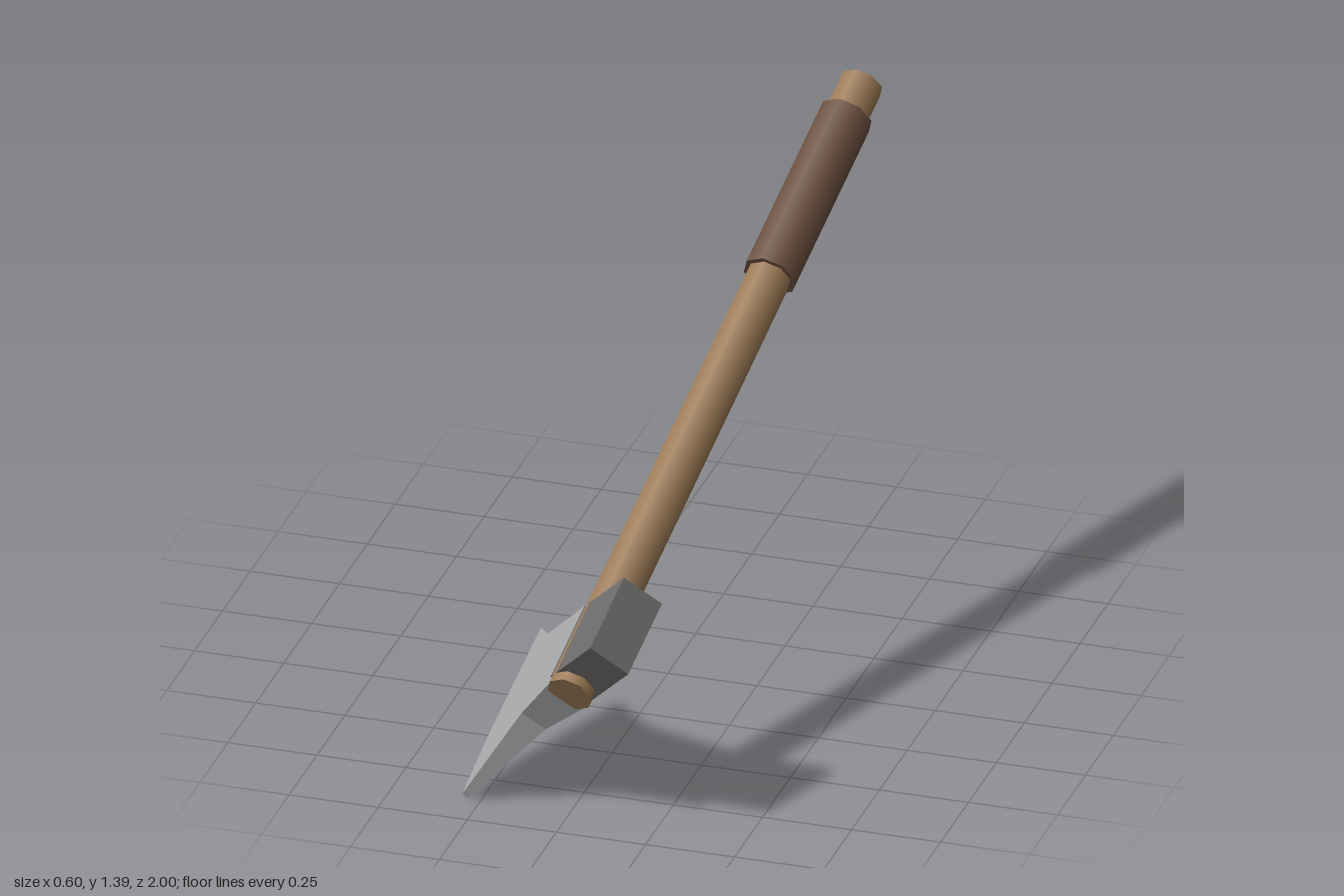
import * as THREE from 'three';

const material = (name, color, extra = {}) => {
  const m = new THREE.MeshStandardMaterial({ color, ...extra });
  m.name = name;
  return m;
};

// Local frame: y runs along the handle from the head end, z points to the cutting edge.
export function createModel() {
  const wood = material('wood', 0x9c7a55);
  const leather = material('leather', 0x6b4f3e);
  const steel = material('steel', 0xa6a8aa);
  const iron = material('darkIron', 0x6c6b6a);

  const axe = new THREE.Group();
  axe.name = 'axe';
  const add = (name, geometry, mat) => {
    const mesh = new THREE.Mesh(geometry, mat);
    mesh.name = name;
    axe.add(mesh);
    return mesh;
  };

  // Octagonal rods, smooth around the sides
  const rod = (name, rTop, rBottom, from, to, mat) =>
    add(name, new THREE.CylinderGeometry(rTop, rBottom, to - from, 8).translate(0, (from + to) / 2, 0), mat);
  rod('handle', 0.061, 0.0645, 0, 2.142, wood);
  rod('grip', 0.076, 0.076, 1.467, 2.027, leather);

  // Hammer block behind the handle
  add('hammerBlock', new THREE.BoxGeometry(0.127, 0.247, 0.225).translate(-0.002, 0.152, -0.089), iron);

  // Blade: outline extruded, then thinned towards the cutting edge
  const outline = [
    [0.003, 0], [-0.01, 0.19], [-0.155, 0.463], [0.06, 0.488],
    [0.437, 0.475], [0.347, 0.34], [0.308, 0.15], [0.28, 0],
  ].map(([s, t]) => new THREE.Vector2(s, t));
  const blade = new THREE.ExtrudeGeometry(new THREE.Shape(outline), { depth: 1, bevelEnabled: false });
  const p = blade.attributes.position;
  for (let i = 0; i < p.count; i++) {
    const s = p.getX(i), t = p.getY(i), side = p.getZ(i) * 2 - 1;
    p.setXYZ(i, side * (0.061 - 0.11 * t) + 0.01 * t, s, t);
  }
  blade.computeVertexNormals();
  add('blade', blade, steel);

  // Lean the axe so that it rests on the blade tip
  const along = new THREE.Vector3(0.105, 0.446, -0.889).normalize();
  const across = new THREE.Vector3(-0.775, 0.597, 0.208);
  const edge = new THREE.Vector3().crossVectors(across, along).normalize();
  across.crossVectors(along, edge);
  axe.quaternion.setFromRotationMatrix(new THREE.Matrix4().makeBasis(across, along, edge));
  axe.position.set(0.014, 0.38, 0.93);

  // Centre on x and z, stand on y = 0
  const model = new THREE.Group();
  model.name = 'leaningAxe';
  model.add(axe);
  model.updateMatrixWorld(true);
  const box = new THREE.Box3().setFromObject(model, true);
  const centre = box.getCenter(new THREE.Vector3());
  axe.position.sub(new THREE.Vector3(centre.x, box.min.y, centre.z));
  return model;
}
